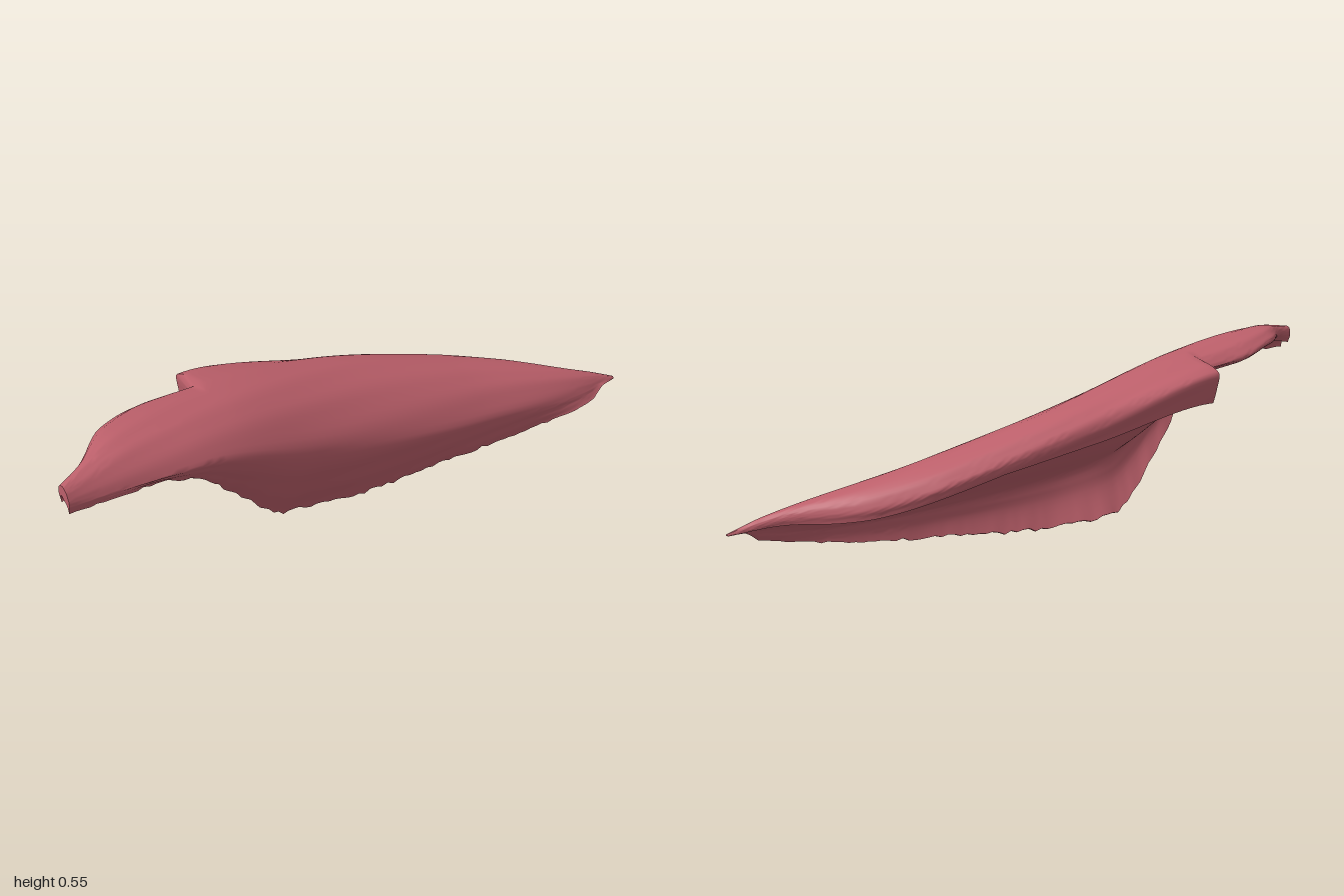
import * as THREE from 'three';
import { toCreasedNormals } from 'three/addons/utils/BufferGeometryUtils.js';

// Lengthwise guide lines, each a few [z, x, y] points from front to tail.
const LEFT_EDGE = [
  [1, 0.012, 0.49], [0.93, -0.01, 0.505], [0.78, -0.12, 0.52], [0.6, -0.17, 0.5], [0.44, -0.167, 0.49],
  [0.42, -0.253, 0.495], [0, -0.2, 0.395], [-0.45, -0.1, 0.275], [-0.65, -0.005, 0.22],
  [-0.86, 0.165, 0.185], [-1, 0.237, 0.147],
];
const CREST = [
  [1, 0.035, 0.515], [0.78, -0.02, 0.55], [0.45, -0.05, 0.525], [0, -0.06, 0.437],
  [-0.45, 0.03, 0.32], [-0.9, 0.21, 0.19], [-1, 0.242, 0.15],
];
const FLANK = [
  [1, 0.06, 0.47], [0.6, 0.105, 0.44], [0.2, 0.115, 0.31], [0, 0.13, 0.26],
  [-0.45, 0.178, 0.18], [-0.86, 0.238, 0.145], [-1, 0.248, 0.145],
];
const MARGIN = [
  [1, 0.055, 0.44], [0.78, 0.08, 0.435], [0.6, 0.07, 0.375], [0.42, 0.015, 0.21], [0.2, -0.018, 0.025],
  [0, 0.03, 0.01], [-0.45, 0.14, 0.042], [-0.65, 0.19, 0.062], [-0.9, 0.252, 0.108], [-0.94, 0.25, 0.14],
  [-1, 0.247, 0.142],
];
const ACROSS = 42;
const ALONG = 100;

function seeded(seed) {
  return () => {
    seed = (seed * 16807) % 2147483647;
    return seed / 2147483647;
  };
}

// Smooth value of one coordinate of a guide line at z, without overshoot
function smoothAt(line, z, axis) {
  const last = line.length - 2;
  let i = 0;
  while (i < last && z < line[i + 1][0]) i++;
  const secant = (k) => {
    const c = Math.min(Math.max(k, 0), last);
    return (line[c + 1][axis] - line[c][axis]) / (line[c + 1][0] - line[c][0]);
  };
  const slope = (k) => {
    const [m, n] = [secant(k - 1), secant(k)];
    return m * n > 0 ? (2 * m * n) / (m + n) : 0;
  };
  const h = line[i + 1][0] - line[i][0];
  const t = (z - line[i][0]) / h;
  const blend = t * t * (3 - 2 * t);
  return line[i][axis] * (1 - blend) + line[i + 1][axis] * blend
    + h * t * (1 - t) * ((1 - t) * slope(i) - t * slope(i + 1));
}

const pointAt = (line, z) => new THREE.Vector3(smoothAt(line, z, 1), smoothAt(line, z, 2), z);

const between = (a, b, x, y) => new THREE.Vector3(
  THREE.MathUtils.lerp(a.x, b.x, x), THREE.MathUtils.lerp(a.y, b.y, y), a.z);

// Arched cross-section: left lip, roof, crest, shoulder, right flank, belly, margin
function sectionAt(z) {
  const [left, crest, flank, margin] = [LEFT_EDGE, CREST, FLANK, MARGIN].map((line) => pointAt(line, z));
  // The lip hangs below the rear flap and tucks under the front lobe
  const onLobe = z > 0.43;
  const drop = onLobe ? 0.03 : Math.min(0.003 + 0.12 * (1 + z), 0.06 + 0.09 * Math.max(z, -0.3));
  const tuck = onLobe ? Math.min(0.05, 0.01 + 0.2 * (1 - z)) : 0.22 * drop;
  const lip = new THREE.Vector3(left.x + tuck, left.y - drop, z);
  const roof = between(left, crest, 0.3, 0.85);
  const shoulder = between(crest, flank, 0.6, 0.32);
  const belly = between(flank, margin, 0.35, 0.5);
  return new THREE.CatmullRomCurve3([lip, left, roof, crest, shoulder, flank, belly, margin]);
}

function buildMuscle() {
  const random = seeded(11);
  const positions = [];
  const indices = [];
  const ring = 2 * (ACROSS + 1);

  for (let i = 0; i <= ALONG; i++) {
    const z = 1 - (2 * i) / ALONG;
    const section = sectionAt(z);
    const [lip, margin] = [section.getPoint(0), section.getPoint(1)];
    const thickness = Math.min(0.03, 0.008 + 0.1 * (1 - z), 0.003 + 0.05 * (1 + z));
    const fray = (random() - 0.5) * 0.4 * thickness;
    const outer = [];
    const inner = [];
    for (let j = 0; j <= ACROSS; j++) {
      const u = j / ACROSS;
      const p = section.getPoint(u);
      const d = section.getTangent(u);
      const inward = new THREE.Vector3(d.y, -d.x, 0).normalize();
      // Shallow fibres on the skin, thin edges and a frayed lower margin
      const fibre = 0.04 * thickness * Math.sin(u * 55 - z * 7);
      const edge = Math.min(1, 0.2 + 5 * Math.min(u, 1 - u));
      p.y += fray * Math.max(0, u * 10 - 9);
      outer.push(p.clone().addScaledVector(inward, fibre));
      // Fleshy underside, filled part of the way towards the open side
      const chord = lip.clone().lerp(margin, u);
      inner.push(p.clone().addScaledVector(inward, thickness * edge).lerp(chord, 0.65 * Math.sin(Math.PI * u)));
    }
    for (const p of [...outer, ...inner.reverse()]) positions.push(p.x, Math.max(p.y, 0), p.z);
  }

  // Skin between neighbouring rings
  for (let i = 0; i < ALONG; i++) {
    for (let j = 0; j < ring; j++) {
      const a = i * ring + j;
      const b = i * ring + (j + 1) % ring;
      indices.push(a, b, a + ring, b, b + ring, a + ring);
    }
  }
  // Front and tail caps
  const tail = ALONG * ring;
  for (let j = 0; j < ACROSS; j++) {
    const [o, o2, n, n2] = [j, j + 1, ring - 1 - j, ring - 2 - j];
    indices.push(o, n, o2, o2, n, n2);
    indices.push(tail + o, tail + o2, tail + n, tail + o2, tail + n2, tail + n);
  }
  const geometry = new THREE.BufferGeometry();
  geometry.setAttribute('position', new THREE.Float32BufferAttribute(positions, 3));
  geometry.setIndex(indices);
  return toCreasedNormals(geometry, 0.9);
}

export function createModel() {
  const group = new THREE.Group();
  group.name = 'muscle';
  const red = new THREE.MeshStandardMaterial({ color: 0xbd606b, side: THREE.DoubleSide });
  red.name = 'muscle red';
  const body = new THREE.Mesh(buildMuscle(), red);
  body.name = 'muscleBody';
  group.add(body);
  return group;
}
